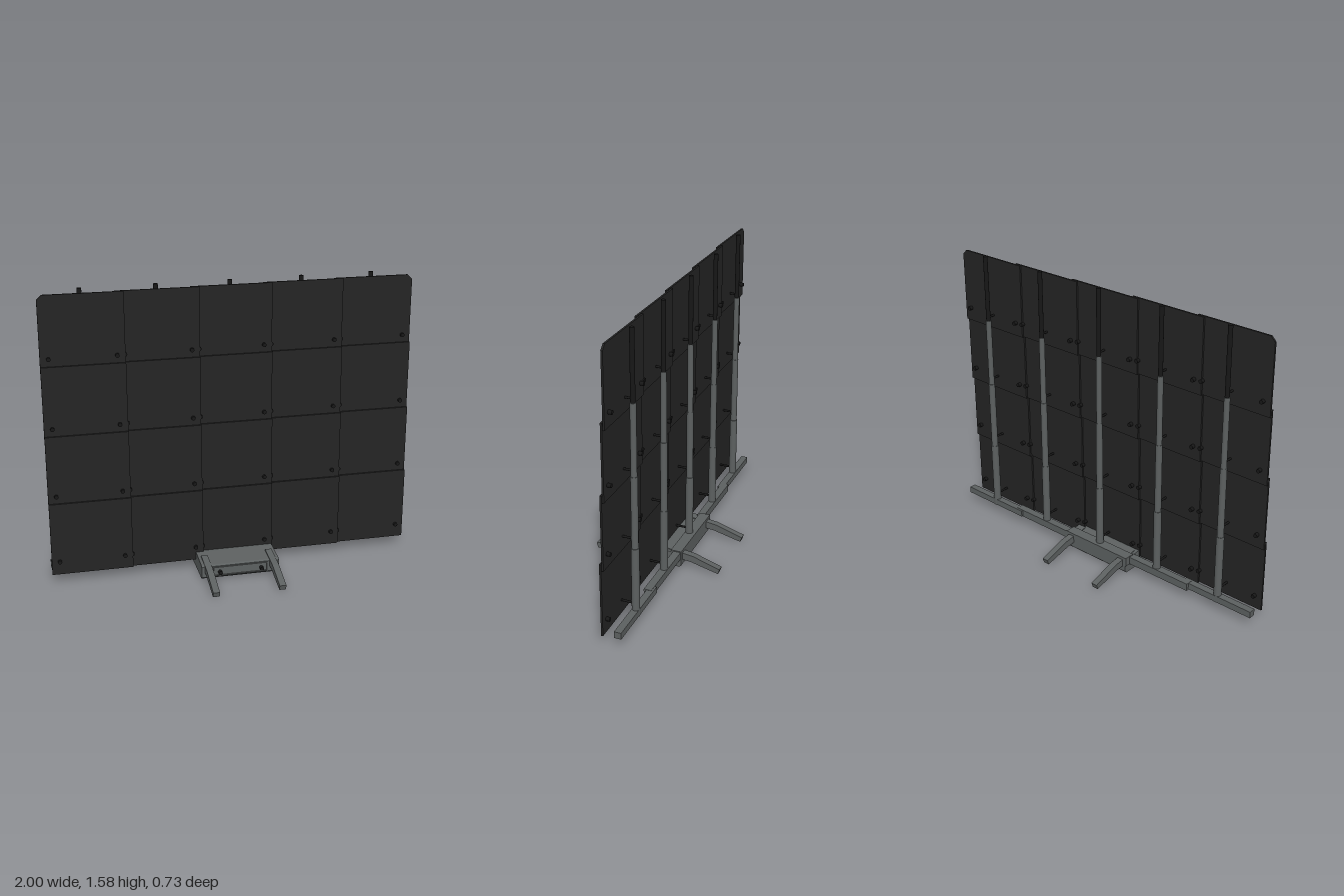
import * as THREE from 'three';

const mat = (name, color) => {
  const m = new THREE.MeshStandardMaterial({ color });
  m.name = name;
  return m;
};

export function createModel() {
  const model = new THREE.Group();
  model.name = 'foldingPanelScreen';
  const panelMat = mat('panelBlack', 0x242424);
  const greyMat = mat('frameGrey', 0x5c6060);
  const darkMat = mat('fittingBlack', 0x171717);

  const add = (name, geo, material, x = 0, y = 0, z = 0) => {
    const mesh = new THREE.Mesh(geo, material);
    mesh.name = name;
    mesh.position.set(x, y, z);
    model.add(mesh);
    return mesh;
  };
  const box = (name, material, x0, x1, y0, y1, z0, z1) =>
    add(name, new THREE.BoxGeometry(x1 - x0, y1 - y0, z1 - z0), material,
      (x0 + x1) / 2, (y0 + y1) / 2, (z0 + z1) / 2);
  // cylinder along z
  const rod = (name, material, r, x, y, z0, z1) =>
    add(name, new THREE.CylinderGeometry(r, r, z1 - z0, 12).rotateX(Math.PI / 2),
      material, x, y, (z0 + z1) / 2);
  // (z, y) outline extruded across x
  const sideProfile = (name, material, points, width, x) => {
    const shape = new THREE.Shape(points.map(p => new THREE.Vector2(p[0], p[1])));
    const geo = new THREE.ExtrudeGeometry(shape, { depth: width, bevelEnabled: false });
    geo.translate(0, 0, -width / 2).rotateY(-Math.PI / 2);
    return add(name, geo, material, x);
  };

  // Panels: five columns by four rows, each overlapping the next
  const COLS = 5, ROWS = 4, STEP_X = 0.391, STEP_Y = 0.37;
  const W = 0.436, H = 0.405, T = 0.01, CUT = 0.025;
  const panelGeometry = (cutLeft, cutRight) => {
    const h = W / 2, s = new THREE.Shape();
    s.moveTo(-h, 0);
    s.lineTo(h, 0);
    s.lineTo(h, H - cutRight);
    if (cutRight) s.lineTo(h - cutRight, H);
    else s.lineTo(h, H);
    s.lineTo(-h + cutLeft, H);
    if (cutLeft) s.lineTo(-h, H - cutLeft);
    return new THREE.ExtrudeGeometry(s, { depth: T, bevelEnabled: false });
  };

  for (let c = 0; c < COLS; c++) {
    const x = (c - 2) * STEP_X;
    const mastZ = -0.111 - (c - 2) * 0.0135;
    for (let r = 0; r < ROWS; r++) {
      const y = 0.055 + r * STEP_Y;
      const back = -0.005 - c * 0.0137 - r * 0.0127;
      const top = r === ROWS - 1;
      add('panel', panelGeometry(top && c === 0 ? CUT : 0, top && c === COLS - 1 ? CUT : 0),
        panelMat, x, y, back);
      // hinge bolts near both sides
      for (const s of [-1, 1])
        rod('hingeBolt', darkMat, 0.011, x + s * 0.175, y + 0.075, back - 0.02, back + T + 0.013);
      // clip joining panel to mast
      rod('mastClip', darkMat, 0.006, x, y + 0.075, mastZ, back + 0.002);
    }

    // Telescopic mast
    const stops = [0.06, 0.45, 0.84, 1.22, 1.587];
    const radii = [0.021, 0.018, 0.0155, 0.012];
    radii.forEach((rad, i) => {
      const len = stops[i + 1] - stops[i];
      add('mastSection', new THREE.CylinderGeometry(rad, rad, len, 16),
        i < 3 ? greyMat : darkMat, x, stops[i] + len / 2, mastZ);
    });
  }

  // Telescopic cross beam
  box('beamOuterRight', greyMat, -1, -0.57, 0.062, 0.098, -0.105, -0.067);
  box('beamInnerRight', greyMat, -0.61, -0.2, 0.058, 0.1, -0.12, -0.079);
  box('beamCentre', greyMat, -0.22, 0.215, 0.055, 0.105, -0.15, -0.09);
  box('beamInnerLeft', greyMat, 0.2, 0.61, 0.058, 0.1, -0.146, -0.104);
  box('beamOuterLeft', greyMat, 0.565, 1, 0.062, 0.098, -0.157, -0.119);

  // Base housing with a gently sloping top
  sideProfile('baseHousing', greyMat,
    [[-0.14, 0.01], [0.14, 0.01], [0.15, 0.02], [0.15, 0.08], [0.14, 0.087],
      [0, 0.098], [-0.05, 0.098], [-0.15, 0.085], [-0.15, 0.02]], 0.43, 0);

  // Front control panel: raised rim and two knobs
  box('controlRimTop', greyMat, -0.15, 0.15, 0.07, 0.075, 0.149, 0.156);
  box('controlRimBottom', greyMat, -0.15, 0.15, 0.023, 0.028, 0.149, 0.156);
  for (const s of [-1, 1]) {
    const x = s * 0.1475;
    box('controlRimSide', greyMat, x - 0.0025, x + 0.0025, 0.023, 0.075, 0.149, 0.156);
    rod('knob', darkMat, 0.011, s * 0.115, 0.046, 0.149, 0.172);
  }

  // Four bent legs
  for (const sx of [-1, 1]) {
    for (const sz of [-1, 1]) {
      const pts = [[0.05, 0.06], [0.2, 0.044], [0.355, 0.006], [0.364, 0.034], [0.21, 0.082], [0.05, 0.102]]
        .map(([z, y]) => [z * sz, y]);
      sideProfile('leg', greyMat, pts, 0.036, sx * 0.18);
    }
  }
  return model;
}
